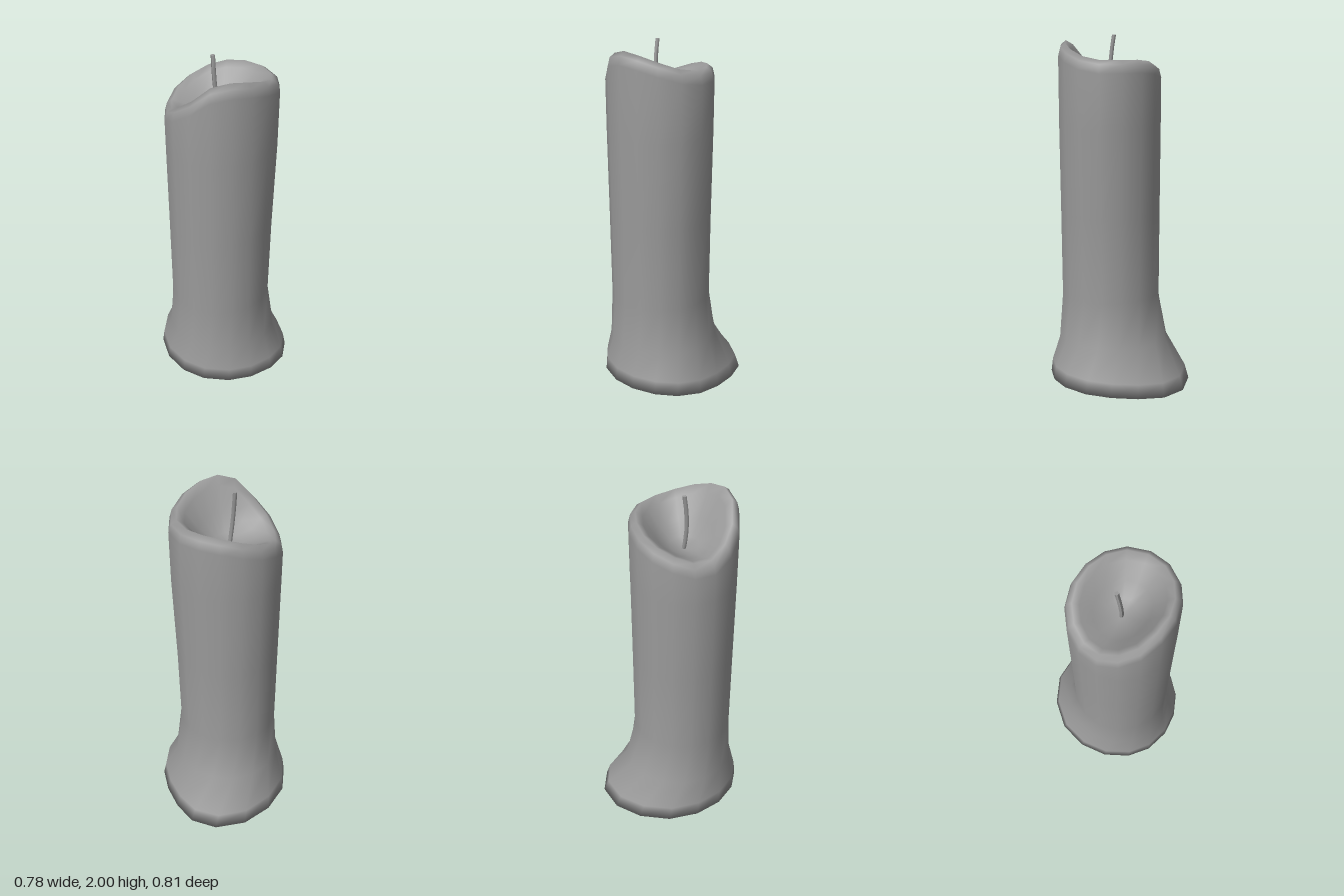
import * as THREE from 'three';

const SIDES = 16;
const material = new THREE.MeshStandardMaterial({ color: 0x9a9a9a });
const { lerp, smoothstep } = THREE.MathUtils;

// Spread foot of melted wax, [x, z] from the left side round through the front
const FOOT = [
  [0.38, 0.10], [0.32, 0.23], [0.225, 0.33], [0.09, 0.395],
  [-0.05, 0.40], [-0.195, 0.345], [-0.315, 0.235], [-0.39, 0.08],
  [-0.39, -0.10], [-0.32, -0.265], [-0.185, -0.38], [-0.03, -0.405],
  [0.11, -0.35], [0.235, -0.265], [0.335, -0.16], [0.39, -0.03],
];

// Height of the uneven rim at the same angles
const RIM = [1.925, 1.955, 1.97, 1.945, 1.855, 1.785, 1.73, 1.73,
  1.765, 1.80, 1.835, 1.86, 1.87, 1.87, 1.87, 1.89];

const FLOOR = 1.68;
const footY = (z) => Math.max(0, 0.04 + (z > 0 ? 0.03 : 0.1) * z);

// Ring point on the shaft, which bulges toward one back corner as it rises
function shaftPoint(k, r, y) {
  const a = (k / SIDES) * Math.PI * 2;
  const cz = 0.068 + 0.007 * Math.min(1, y / 1.6);
  const corner = Math.max(0, Math.cos(a + Math.PI / 4)) ** 3;
  const rr = r * (1 + 0.12 * corner * smoothstep(y, 0.5, 1.8));
  return [0.004 + rr * Math.cos(a), y, cz + rr * Math.sin(a)];
}

// Ring point between the shaft (spread 0) and the foot outline (spread 1)
function flarePoint(k, spread, y) {
  const [x, , z] = shaftPoint(k, 0.284, y);
  return [lerp(x, FOOT[k][0], spread), y, lerp(z, FOOT[k][1], spread)];
}

// Height inside the hollow, from the floor (0) to the rim (1)
const hollowPoint = (k, r, t) => shaftPoint(k, r, lerp(FLOOR, RIM[k], t));

// Wax: underside, flared foot, shaft, rounded rim and hollow as one smooth skin
function createWax() {
  const rings = [
    (k) => flarePoint(k, 1, footY(FOOT[k][1])),
    (k) => flarePoint(k, 0.88, footY(FOOT[k][1]) + 0.075),
    (k) => flarePoint(k, 0.28, 0.26),
    (k) => flarePoint(k, 0, 0.52),
    (k) => shaftPoint(k, 0.287, 1.0),
    (k) => shaftPoint(k, 0.291, 1.5),
    (k) => shaftPoint(k, 0.292, RIM[k] - 0.07),
    (k) => shaftPoint(k, 0.28, RIM[k] - 0.022),
    (k) => shaftPoint(k, 0.252, RIM[k]),
    (k) => hollowPoint(k, 0.215, 0.85),
    (k) => hollowPoint(k, 0.15, 0.42),
    (k) => hollowPoint(k, 0.08, 0.1),
  ];
  const positions = [];
  const index = [];
  for (const ring of rings) {
    for (let k = 0; k < SIDES; k++) positions.push(...ring(k));
  }
  const top = rings.length * SIDES;
  const bottom = top + 1;
  positions.push(...shaftPoint(0, 0, FLOOR), 0, footY(0), 0);
  for (let i = 0; i < rings.length; i++) {
    for (let k = 0; k < SIDES; k++) {
      const a = i * SIDES + k;
      const b = i * SIDES + ((k + 1) % SIDES);
      if (i === 0) index.push(bottom, a, b);
      if (i === rings.length - 1) index.push(a, top, b);
      else index.push(a, a + SIDES, b, b, a + SIDES, b + SIDES);
    }
  }
  const geometry = new THREE.BufferGeometry();
  geometry.setAttribute('position', new THREE.Float32BufferAttribute(positions, 3));
  geometry.setIndex(index);
  geometry.computeVertexNormals();
  const wax = new THREE.Mesh(geometry, material);
  wax.name = 'wax';
  return wax;
}

// Thin wick, bent along a short curve
function createWick() {
  const bottom = FLOOR - 0.02;
  const height = 2 - bottom;
  const geometry = new THREE.CylinderGeometry(0.012, 0.012, height, 5, 5);
  geometry.translate(0, bottom + height / 2, 0);
  const p = geometry.attributes.position;
  for (let i = 0; i < p.count; i++) {
    const t = THREE.MathUtils.clamp((p.getY(i) - bottom) / height, 0, 1);
    p.setX(i, p.getX(i) - 0.028 * t * Math.sqrt(t));
    p.setZ(i, p.getZ(i) + 0.07 + 0.01 * t + 0.015 * Math.sin(Math.PI * t));
  }
  geometry.computeVertexNormals();
  const wick = new THREE.Mesh(geometry, material);
  wick.name = 'wick';
  return wick;
}

export function createModel() {
  const group = new THREE.Group();
  group.name = 'candle';
  group.add(createWax(), createWick());
  return group;
}
